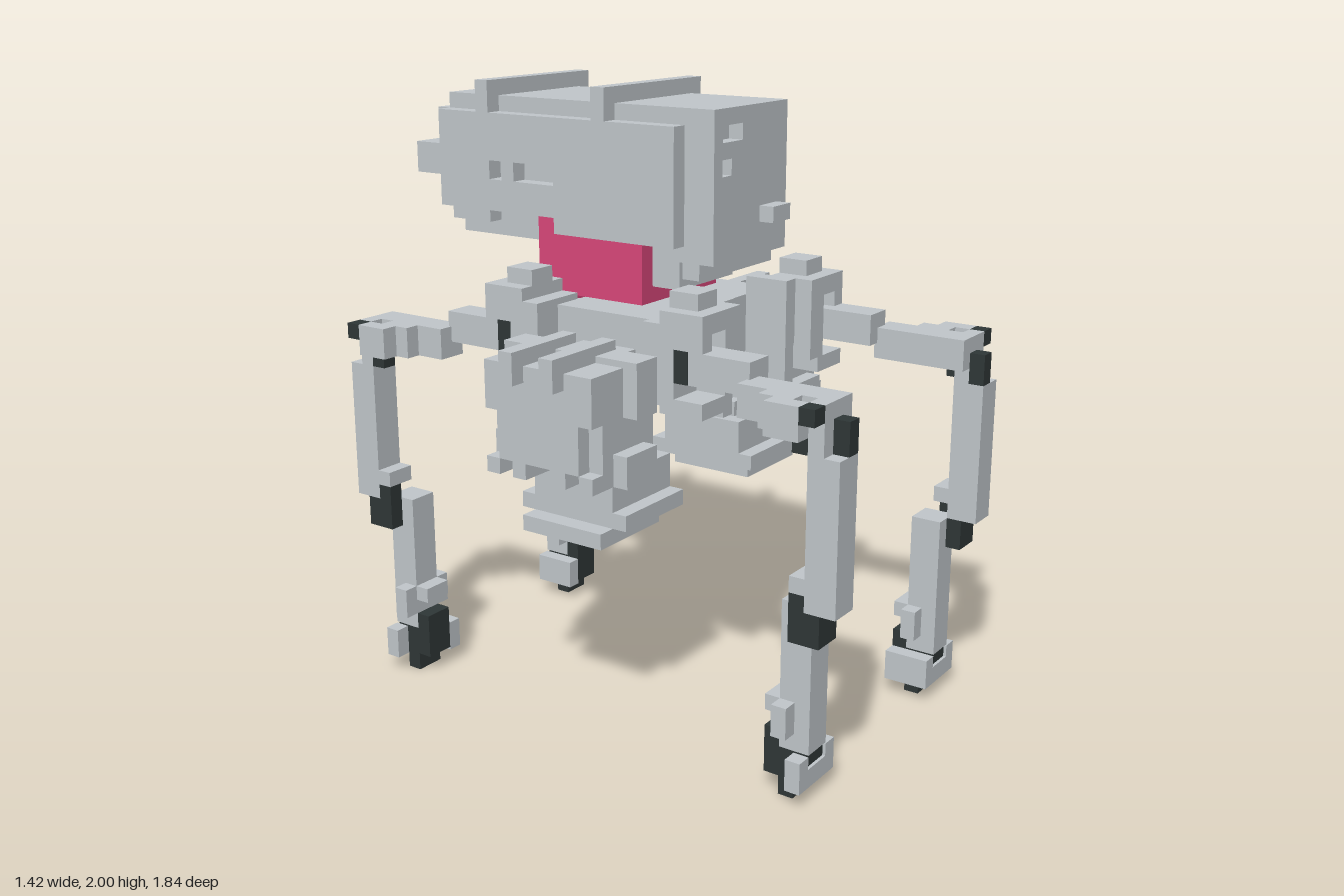
import * as THREE from 'three';

export function createModel() {
  const mat = (name, color) => {
    const m = new THREE.MeshStandardMaterial({ color });
    m.name = name;
    return m;
  };
  const grey = mat('steel grey', 0xc2c8cc);
  const dark = mat('joint black', 0x2f3737);
  const pink = mat('neck pink', 0xda487a);

  const model = new THREE.Group();
  model.name = 'walker';
  const group = (name) => {
    const g = new THREE.Group();
    g.name = name;
    model.add(g);
    return g;
  };
  // Box from opposite corners, optionally mirrored in x and z
  const box = (g, name, m, [x0, x1], [y0, y1], [z0, z1], sx = 1, sz = 1) => {
    const mesh = new THREE.Mesh(new THREE.BoxGeometry(x1 - x0, y1 - y0, z1 - z0), m);
    mesh.position.set(sx * (x0 + x1) / 2, (y0 + y1) / 2, sz * (z0 + z1) / 2);
    mesh.name = name;
    g.add(mesh);
  };
  // Plate with rectangular holes, extruded along +z
  const plate = (name, [x0, x1], [y0, y1], holes, depth) => {
    const rect = (P, a, b, c, d) => {
      const p = new P();
      p.moveTo(a, c); p.lineTo(b, c); p.lineTo(b, d); p.lineTo(a, d); p.closePath();
      return p;
    };
    const s = rect(THREE.Shape, x0, x1, y0, y1);
    for (const [a, b, c, d] of holes) s.holes.push(rect(THREE.Path, a, b, c, d));
    const mesh = new THREE.Mesh(new THREE.ExtrudeGeometry(s, { depth, bevelEnabled: false }), grey);
    mesh.name = name;
    return mesh;
  };

  // Head
  const head = group('head');
  box(head, 'headFront', grey, [-0.205, 0.205], [1.54, 1.95], [-0.25, 0.26]);
  box(head, 'headRear', grey, [-0.205, 0.205], [1.59, 1.95], [-0.72, -0.25]);
  const face = plate('facePlate', [-0.205, 0.205], [1.49, 1.95],
    [[-0.16, -0.05, 1.85, 1.9], [-0.16, -0.11, 1.75, 1.8]], 0.05);
  face.position.z = 0.26;
  head.add(face);
  box(head, 'chin', grey, [-0.205, 0.205], [1.44, 1.54], [0.2, 0.26]);
  box(head, 'chinBack', grey, [-0.205, 0.205], [1.49, 1.54], [0.15, 0.2]);
  box(head, 'throat', grey, [-0.15, 0.15], [1.39, 1.54], [0.05, 0.15]);
  box(head, 'snoutKnob', grey, [0.05, 0.15], [1.59, 1.64], [0.31, 0.36]);
  for (const s of [-1, 1]) {
    const side = plate('sidePlate', [-0.72, 0.205], [1.59, 1.9],
      [[-0.41, -0.25, 1.69, 1.75], [-0.51, -0.46, 1.69, 1.75]], 0.055);
    side.rotation.y = -Math.PI / 2;
    side.position.x = s > 0 ? 0.26 : -0.205;
    head.add(side);
    box(head, 'sidePlateLower', grey, [0.205, 0.26], [1.54, 1.59], [-0.25, 0.205], s);
    box(head, 'rearCorner', grey, [0.1, 0.26], [1.69, 1.79], [-0.82, -0.72], s);
    box(head, 'underTube', grey, [0.05, 0.15], [1.49, 1.59], [-0.72, -0.36], s);
    box(head, 'underStep', grey, [0.15, 0.205], [1.54, 1.59], [-0.72, -0.56], s);
    for (const z of [-0.1, -0.56])
      box(head, 'ribEnd', grey, [0.205, 0.26], [1.9, 2], [z, z + 0.05], s);
  }
  for (const z of [-0.1, -0.56])
    box(head, 'rib', grey, [-0.205, 0.205], [1.95, 2], [z, z + 0.05]);
  box(head, 'rearPlate', grey, [-0.205, 0.205], [1.59, 1.9], [-0.77, -0.72]);
  box(head, 'rearVent', grey, [-0.1, 0.1], [1.61, 1.7], [-0.82, -0.77]);

  // Neck
  const neck = group('neck');
  box(neck, 'neckBlock', pink, [-0.207, 0.207], [1.34, 1.54], [-0.25, 0.05]);
  box(neck, 'neckBack', pink, [-0.207, 0.207], [1.18, 1.59], [-0.355, -0.25]);

  // Torso
  const torso = group('torso');
  box(torso, 'torsoCore', grey, [-0.205, 0.205], [1.13, 1.33], [-0.2, 0.2]);
  box(torso, 'keel', grey, [-0.1, 0.1], [1.08, 1.18], [-0.2, 0.2]);
  for (const s of [-1, 1]) {
    box(torso, 'flank', grey, [0.2, 0.31], [1.13, 1.33], [-0.25, 0.25], s);
    box(torso, 'lowerFlank', grey, [0.15, 0.205], [1.03, 1.18], [-0.15, 0.15], s);
  }

  // Hanging pod on each side
  for (const s of [-1, 1]) {
    const pod = group('sidePod');
    const b = (name, x, y, z) => box(pod, name, grey, x, y, z, s);
    b('podBody', [0.36, 0.61], [0.93, 1.23], [-0.2, 0.2]);
    b('podOuterWall', [0.61, 0.66], [0.93, 1.18], [-0.15, 0.15]);
    b('podShoulder', [0.61, 0.66], [1.08, 1.23], [-0.2, 0.2]);
    b('podBridge', [0.28, 0.38], [1.13, 1.23], [-0.1, 0.1]);
    b('podStrut', [0.3, 0.37], [0.93, 0.98], [-0.15, 0.15]);
    b('lowerTank', [0.2, 0.5], [0.77, 0.88], [-0.15, 0.15]);
    b('tankRim', [0.2, 0.5], [0.72, 0.77], [-0.2, 0.2]);
    b('tankFoot', [0.26, 0.56], [0.67, 0.72], [-0.15, 0.15]);
    b('crossStrap', [0.41, 0.51], [1.2, 1.25], [-0.25, 0.25]);
    for (const z of [-0.1, 0.05]) {
      b('podRail', [0.41, 0.71], [1.18, 1.28], [z, z + 0.05]);
      b('tankHanger', [0.25, 0.66], [0.88, 0.93], [z, z + 0.05]);
    }
    for (const z of [-0.2, 0.15])
      b('podSkirt', [0.36, 0.66], [0.88, 0.93], [z, z + 0.05]);
    for (const z of [-0.25, 0.2]) {
      b('strapDrop', [0.41, 0.51], [1.08, 1.23], [z, z + 0.05]);
      b('strapFoot', [0.41, 0.56], [0.88, 0.98], [z, z + 0.05]);
    }
  }

  // Four legs with their hips, mirrored in x and z
  for (const sx of [-1, 1]) for (const sz of [-1, 1]) {
    const leg = group(sz > 0 ? 'frontLeg' : 'backLeg');
    const b = (name, m, x, y, z) => box(leg, name, m, x, y, z, sx, sz);
    // Hip frame around a dark pivot
    b('hipBack', grey, [0.21, 0.41], [1.13, 1.35], [0.2, 0.31]);
    b('hipTop', grey, [0.26, 0.41], [1.33, 1.39], [0.26, 0.41]);
    b('hipBottom', grey, [0.26, 0.41], [1.08, 1.13], [0.26, 0.41]);
    b('hipInner', grey, [0.21, 0.29], [1.13, 1.39], [0.26, 0.41]);
    b('hipOuterRail', grey, [0.36, 0.41], [1.28, 1.35], [0.26, 0.41]);
    b('hipCap', grey, [0.26, 0.36], [1.39, 1.44], [0.26, 0.36]);
    b('hipSkid', grey, [0.155, 0.205], [1.03, 1.18], [0.2, 0.35]);
    if (sz > 0) b('hipCollar', grey, [0.155, 0.21], [1.18, 1.39], [0.2, 0.35]);
    b('hipPivot', dark, [0.31, 0.412], [1.18, 1.28], [0.31, 0.36]);
    // Arm
    b('innerArm', grey, [0.31, 0.41], [1.18, 1.28], [0.36, 0.57]);
    b('outerArm', grey, [0.36, 0.46], [1.13, 1.23], [0.56, 0.87]);
    b('elbowFront', grey, [0.46, 0.51], [1.13, 1.23], [0.66, 0.77]);
    b('elbowRear', grey, [0.46, 0.51], [1.13, 1.23], [0.82, 0.87]);
    b('elbowSide', grey, [0.51, 0.565], [1.13, 1.23], [0.71, 0.82]);
    b('elbowPin', dark, [0.46, 0.51], [1.08, 1.18], [0.77, 0.82]);
    b('elbowCorner', dark, [0.51, 0.565], [1.18, 1.23], [0.82, 0.87]);
    b('elbowBolt', dark, [0.41, 0.46], [1.08, 1.18], [0.87, 0.92]);
    // Upper leg
    b('thigh', grey, [0.41, 0.51], [0.62, 1.13], [0.82, 0.87]);
    b('thighFront', grey, [0.41, 0.51], [0.62, 1.08], [0.87, 0.92]);
    b('kneeGuard', grey, [0.41, 0.51], [0.67, 0.72], [0.77, 0.82]);
    b('kneeJoint', dark, [0.41, 0.51], [0.52, 0.62], [0.82, 0.87]);
    b('kneeBack', dark, [0.46, 0.51], [0.52, 0.67], [0.77, 0.82]);
    // Lower leg and foot
    b('shin', grey, [0.36, 0.46], [0.155, 0.62], [0.72, 0.82]);
    b('ankleBar', grey, [0.31, 0.51], [0.21, 0.31], [0.72, 0.77]);
    b('calfKnob', grey, [0.36, 0.46], [0.26, 0.31], [0.67, 0.72]);
    b('heel', dark, [0.36, 0.46], [0.06, 0.155], [0.67, 0.77]);
    b('heelTop', dark, [0.36, 0.46], [0.155, 0.21], [0.67, 0.72]);
    b('toePad', dark, [0.36, 0.46], [0.11, 0.155], [0.77, 0.81]);
    b('toe', grey, [0.36, 0.46], [0.05, 0.11], [0.77, 0.82]);
    b('footInner', grey, [0.31, 0.36], [0.05, 0.15], [0.67, 0.82]);
    b('footOuter', grey, [0.46, 0.51], [0.05, 0.15], [0.77, 0.82]);
    b('sole', dark, [0.36, 0.46], [0, 0.06], [0.72, 0.77]);
  }
  return model;
}
